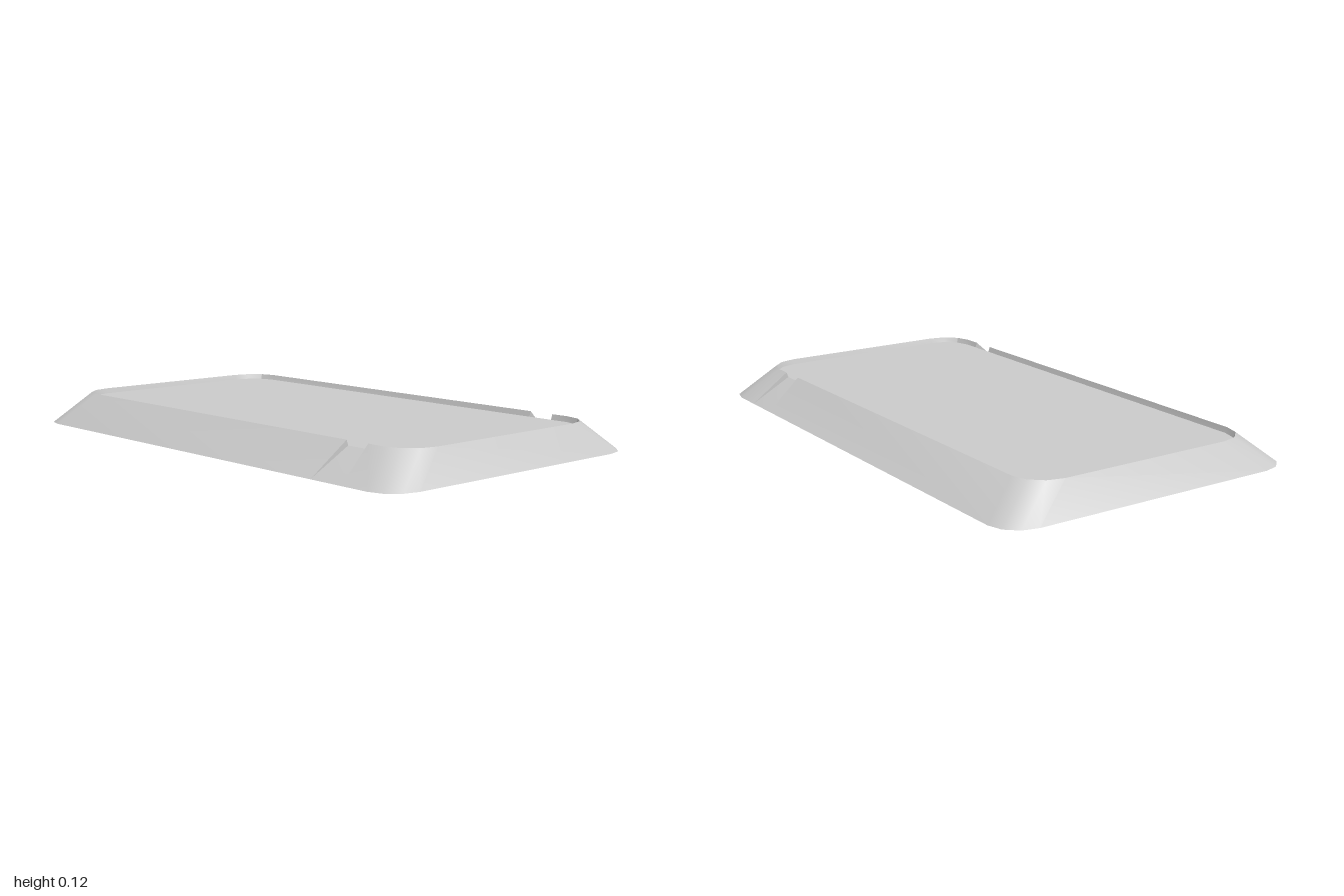
import * as THREE from 'three';
import { toCreasedNormals } from 'three/addons/utils/BufferGeometryUtils.js';

const RIM_Y = 0.115, FLOOR_Y = 0.095;

// Point on a rounded rectangle: half sizes hx/hz, corner radii rx/rz
function corner(hx, hz, rx, rz, y, sx, sz, a) {
  return new THREE.Vector3(sx * (hx - rx) + rx * Math.cos(a), y, sz * (hz - rz) + rz * Math.sin(a));
}

// Each station around the edge is [base, rim, floor]
function cornerStations(sx, sz, start) {
  return [0, 1, 2, 3].map((i) => {
    const a = start + (i * Math.PI) / 6;
    return [
      corner(0.605, 1, 0.12, 0.11, 0, sx, sz, a),
      corner(0.465, 0.935, 0.125, 0.115, RIM_Y, sx, sz, a),
      corner(0.458, 0.93, 0.12, 0.112, FLOOR_Y, sx, sz, a),
    ];
  });
}

// Notch cut through the rim, wider at the base than at the top
function notchStations(side) {
  const station = (zBase, zTop, cut) => {
    const base = new THREE.Vector3(side * 0.605, 0, zBase);
    const floor = new THREE.Vector3(side * 0.458, FLOOR_Y, zTop);
    return [base, cut ? floor.clone() : new THREE.Vector3(side * 0.465, RIM_Y, zTop), floor];
  };
  const list = [
    station(0.63, 0.65, false), station(0.63, 0.65, true),
    station(0.775, 0.75, true), station(0.775, 0.75, false),
  ];
  return side > 0 ? list : list.reverse();
}

function meshFrom(name, triangles, material) {
  const points = [];
  for (const [a, b, c] of triangles) {
    const area = b.clone().sub(a).cross(c.clone().sub(a)).length();
    if (area > 1e-7) points.push(a, b, c);
  }
  const geometry = toCreasedNormals(new THREE.BufferGeometry().setFromPoints(points), 0.5);
  const mesh = new THREE.Mesh(geometry, material);
  mesh.name = name;
  return mesh;
}

export function createModel() {
  const group = new THREE.Group();
  group.name = 'tray';
  const material = new THREE.MeshStandardMaterial({ color: 0xcccccc });
  const H = Math.PI / 2;
  const stations = [
    ...cornerStations(1, -1, -H),
    ...notchStations(1),
    ...cornerStations(1, 1, 0),
    ...cornerStations(-1, 1, H),
    ...notchStations(-1),
    ...cornerStations(-1, -1, 2 * H),
  ];

  const slope = [], lip = [], panel = [], base = [];
  const floorCentre = new THREE.Vector3(0, FLOOR_Y, 0);
  const baseCentre = new THREE.Vector3();
  stations.forEach((s, i) => {
    const n = stations[(i + 1) % stations.length];
    slope.push([s[0], s[1], n[1]], [s[0], n[1], n[0]]);
    lip.push([s[1], s[2], n[2]], [s[1], n[2], n[1]]);
    panel.push([floorCentre, n[2], s[2]]);
    base.push([baseCentre, s[0], n[0]]);
  });

  group.add(
    meshFrom('slopedSides', slope, material),
    meshFrom('innerLip', lip, material),
    meshFrom('recessedPanel', panel, material),
    meshFrom('underside', base, material),
  );
  return group;
}
